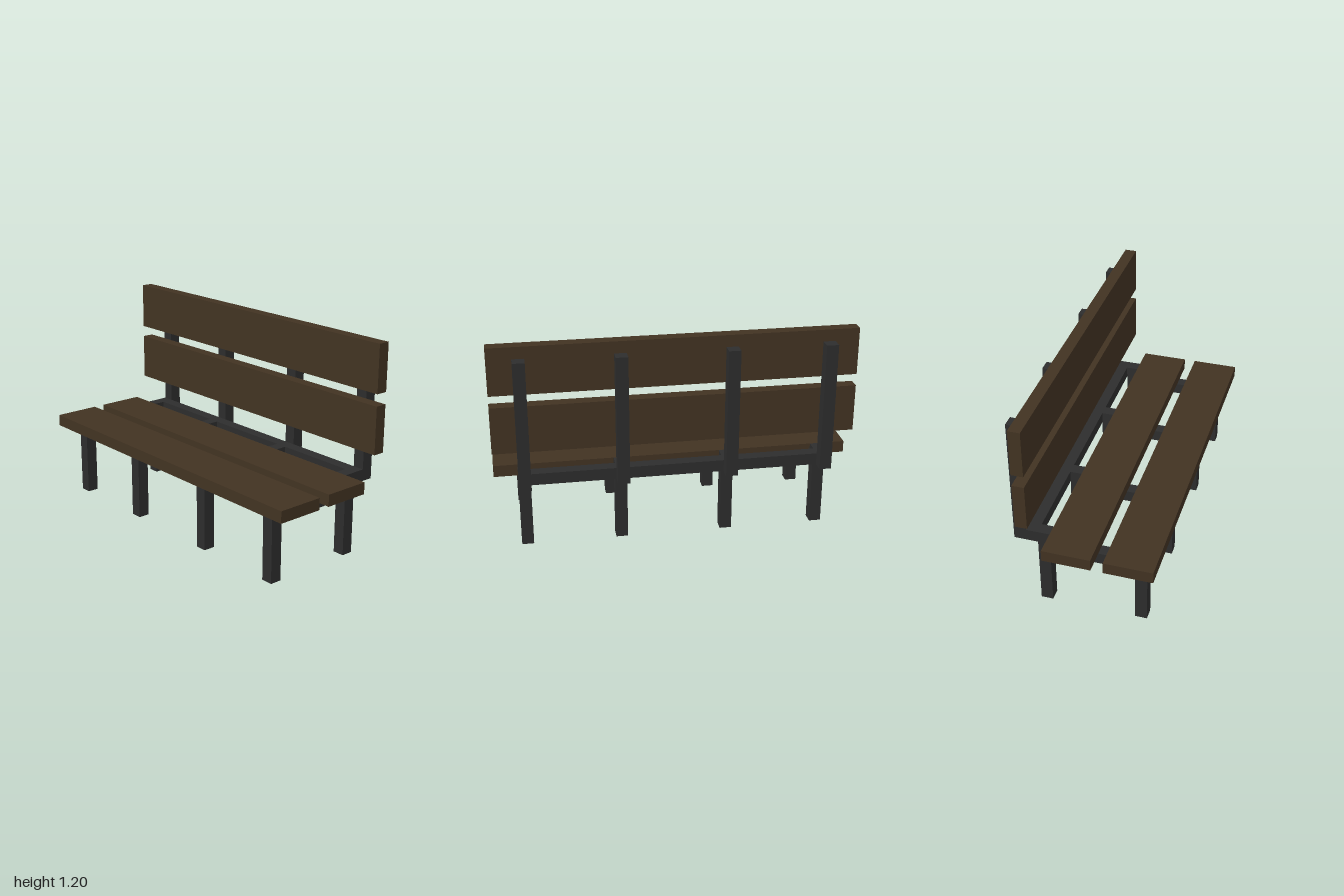
import * as THREE from 'three';

const U = 1 / 15; // bar thickness, the module of the whole bench

export function createModel() {
  const bench = new THREE.Group();
  bench.name = 'bench';
  const wood = new THREE.MeshStandardMaterial({ name: 'dark brown wood', color: 0x423322 });
  const metal = new THREE.MeshStandardMaterial({ name: 'charcoal metal', color: 0x2d2d2d });

  // Box given by its min and max corners, in units of U
  function box(name, material, [x0, y0, z0], [x1, y1, z1]) {
    const geometry = new THREE.BoxGeometry((x1 - x0) * U, (y1 - y0) * U, (z1 - z0) * U);
    const mesh = new THREE.Mesh(geometry, material);
    mesh.name = name;
    mesh.position.set((x0 + x1) * U / 2, (y0 + y1) * U / 2, (z0 + z1) * U / 2);
    bench.add(mesh);
  }

  // Seat and backrest planks
  box('frontSeatPlank', wood, [-15, 6, 2], [15, 7, 6]);
  box('rearSeatPlank', wood, [-15, 6, -3], [15, 7, 1]);
  box('lowerBackPlank', wood, [-15, 9, -5], [15, 13, -4]);
  box('upperBackPlank', wood, [-15, 14, -5], [15, 18, -4]);

  // Side profile of one support (z, y): two legs, seat bar, step and back post
  const profile = [
    [5, 0], [5, 6], [-3, 6], [-3, 7], [-5, 7], [-5, 17], [-6, 17],
    [-6, 6], [-4, 6], [-4, 0], [-3, 0], [-3, 5], [4, 5], [4, 0],
  ];
  const shape = new THREE.Shape(profile.map(([z, y]) => new THREE.Vector2(z * U, y * U)));
  const supportGeometry = new THREE.ExtrudeGeometry(shape, { depth: U, bevelEnabled: false });
  supportGeometry.translate(0, 0, -U / 2);
  supportGeometry.rotateY(-Math.PI / 2);

  const supportX = [-12.5, -4.5, 4.5, 12.5];
  supportX.forEach((x, i) => {
    const support = new THREE.Mesh(supportGeometry, metal);
    support.name = `supportFrame${i + 1}`;
    support.position.x = x * U;
    bench.add(support);
    // Rear rail piece to the next support
    if (i < 3) box(`rearRail${i + 1}`, metal, [x + 0.5, 6, -5], [supportX[i + 1] - 0.5, 7, -4]);
  });

  return bench;
}
